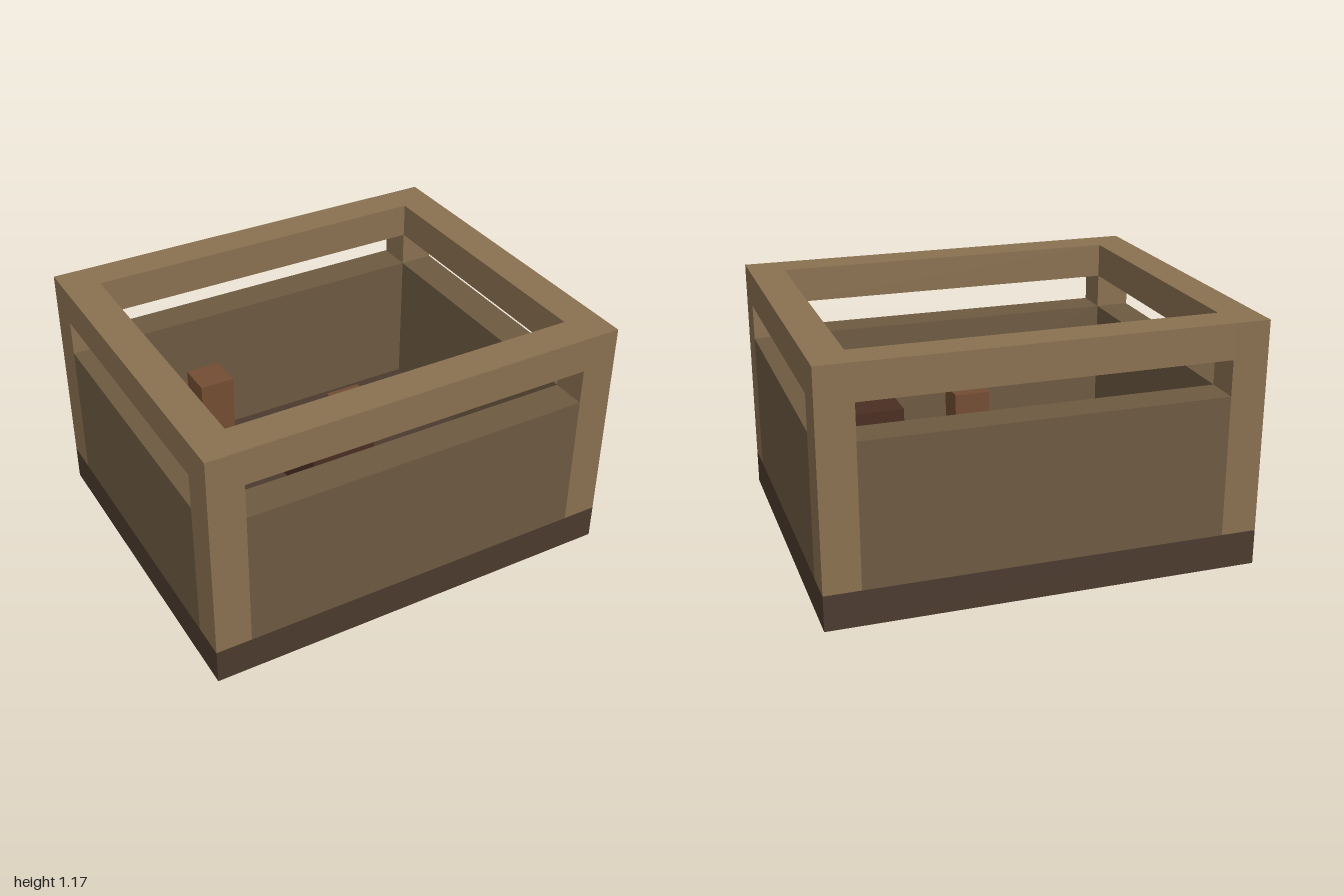
import * as THREE from 'three';

const U = 1 / 6; // one grid block

const material = (color) => new THREE.MeshStandardMaterial({ color, flatShading: true });

export function createModel() {
  const model = new THREE.Group();
  const frame = material(0x8a7050);
  const panel = material(0x6d5a41);
  const floor = material(0x4b3a2e);
  const darkClay = material(0x4a2e22);
  const lightClay = material(0x734d33);

  // Box spanning two corners given in grid blocks
  function block(name, mat, [x0, y0, z0], [x1, y1, z1], parent = model) {
    const geometry = new THREE.BoxGeometry((x1 - x0) * U, (y1 - y0) * U, (z1 - z0) * U);
    const mesh = new THREE.Mesh(geometry, mat);
    mesh.position.set((x0 + x1) / 2, (y0 + y1) / 2, (z0 + z1) / 2).multiplyScalar(U);
    mesh.name = name;
    parent.add(mesh);
  }

  // Floor slab
  block('base', floor, [-6, 0, -5], [6, 1, 5]);

  // Corner posts
  for (const [side, x] of [['Left', 5], ['Right', -6]]) {
    for (const [end, z] of [['front', 4], ['back', -5]]) {
      block(`${end}${side}Post`, frame, [x, 1, z], [x + 1, 7, z + 1]);
    }
  }

  // Walls and top rails, with an open slot between them
  for (const [part, mat, y0, y1] of [['Wall', panel, 1, 5], ['Rail', frame, 6, 7]]) {
    for (const [end, z] of [['front', 4], ['back', -5]]) {
      block(end + part, mat, [-5, y0, z], [5, y1, z + 1]);
    }
    for (const [side, x] of [['left', 5], ['right', -6]]) {
      block(side + part, mat, [x, y0, -4], [x + 1, y1, 4]);
    }
  }

  // Three mounds inside, each with a small block on its front left corner
  const mounds = [
    ['backMound', -3, -3, lightClay],
    ['middleMound', 0, 0, darkClay],
    ['frontMound', 3, 3, darkClay],
  ];
  for (const [name, x, z, mat] of mounds) {
    const mound = new THREE.Group();
    mound.name = name;
    block('moundBody', mat, [x - 1, 1, z - 1], [x + 1, 3, z + 1], mound);
    block('moundTop', lightClay, [x, 3, z], [x + 1, 4, z + 1], mound);
    model.add(mound);
  }

  return model;
}
